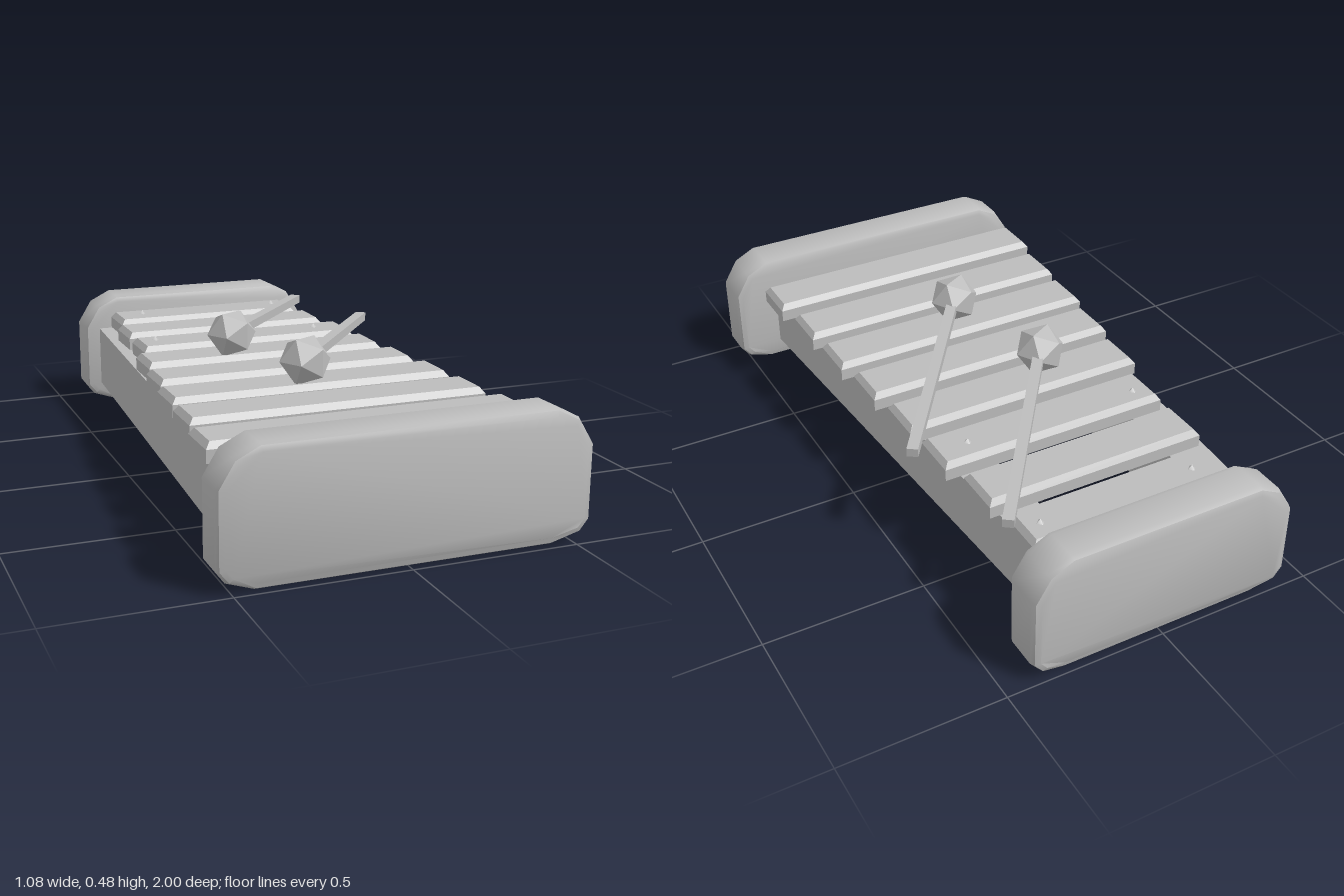
import * as THREE from 'three';
import { toCreasedNormals } from 'three/addons/utils/BufferGeometryUtils.js';

const grey = new THREE.MeshStandardMaterial({ color: 0xbcbcbc });
grey.name = 'plain grey';
const greyOpen = grey.clone(); // same colour, for the bars that are open underneath
greyOpen.name = 'plain grey';
greyOpen.side = THREE.DoubleSide;

function part(name, geometry, material = grey) {
  const mesh = new THREE.Mesh(geometry, material);
  mesh.name = name;
  return mesh;
}

// Move every vertex of a geometry by a rule
function reshape(geometry, rule) {
  const p = geometry.attributes.position;
  const v = new THREE.Vector3();
  for (let i = 0; i < p.count; i++) {
    rule(v.fromBufferAttribute(p, i));
    p.setXYZ(i, v.x, v.y, v.z);
  }
  geometry.computeVertexNormals();
  return geometry;
}

// End board: rounded top corners, clipped lower corners, softened edges
function endBoard(halfWidth, z) {
  const b = 0.022, w = halfWidth - b;
  const half = [[w - 0.09, 0.004 + b], [w - 0.02, 0.05], [w, 0.075], [w, 0.28], [w - 0.04, 0.345], [w - 0.1, 0.397 - b]];
  const outline = [...half, ...half.map(([x, y]) => [-x, y]).reverse()];
  const shape = new THREE.Shape(outline.map(([x, y]) => new THREE.Vector2(x, y)));
  const g = new THREE.ExtrudeGeometry(shape, {
    depth: 0.14 - 2 * b, bevelEnabled: true, bevelThickness: b, bevelSize: b, bevelSegments: 2,
  });
  g.translate(0, 0, -(0.14 - 2 * b) / 2);
  // the underside narrows to a foot
  reshape(g, (v) => { if (v.y < 0.035) { v.z *= 0.75; v.y = Math.max(0, v.y - 0.004); } });
  return toCreasedNormals(g, 0.7).translate(0, 0, z);
}

// Rail running front to back, spreading towards the front
function rail(back, front) {
  const g = new THREE.BoxGeometry(1, 0.205, 1.74).toNonIndexed();
  return reshape(g, (v) => {
    const [a, b] = v.z > 0 ? front : back;
    v.x = v.x > 0 ? b : a;
    v.y += 0.178;
  });
}

// Sounding bar: a shell with a tapered top and an open underside
function bar(x0, x1, z0, z1) {
  const ring = (inset, y) => [
    [x0 + inset, y, z1 - inset], [x1 - inset, y, z1 - inset],
    [x1 - inset, y, z0 + inset], [x0 + inset, y, z0 + inset],
  ];
  const rings = [ring(0, 0.287), ring(0, 0.325), ring(0.014, 0.344)];
  const pos = [];
  const quad = (a, b, c, d) => pos.push(...a, ...b, ...c, ...a, ...c, ...d);
  for (let r = 0; r < 2; r++) {
    for (let i = 0; i < 4; i++) {
      const j = (i + 1) % 4;
      quad(rings[r][i], rings[r][j], rings[r + 1][j], rings[r + 1][i]);
    }
  }
  quad(...rings[2]);
  const g = new THREE.BufferGeometry();
  g.setAttribute('position', new THREE.Float32BufferAttribute(pos, 3));
  g.computeVertexNormals();
  return g;
}

// Mallet: faceted head and a square stick leading to its tip
function mallet(head, tip) {
  const group = new THREE.Group();
  group.name = 'mallet';
  const a = new THREE.Vector3(...head), b = new THREE.Vector3(...tip);
  const ball = part('malletHead', new THREE.IcosahedronGeometry(0.081, 0));
  ball.position.copy(a);
  ball.rotation.y = 0.5;
  const stick = part('malletStick', new THREE.BoxGeometry(0.034, 0.028, a.distanceTo(b)));
  stick.position.copy(a).lerp(b, 0.5);
  stick.lookAt(b);
  group.add(ball, stick);
  return group;
}

export function createModel() {
  const model = new THREE.Group();
  model.name = 'xylophone';

  model.add(
    part('frontBoard', endBoard(0.542, 0.93)),
    part('backBoard', endBoard(0.42, -0.93)),
    part('rightRail', rail([-0.37, -0.25], [-0.465, -0.33])),
    part('leftRail', rail([0.18, 0.3], [0.262, 0.4])),
  );

  // Bars from back to front: left end, right end, back edge
  const bars = [
    [-0.33, 0.33, -0.84], [-0.36, 0.35, -0.63], [-0.365, 0.38, -0.42], [-0.41, 0.39, -0.21],
    [-0.435, 0.41, 0], [-0.46, 0.43, 0.205], [-0.475, 0.44, 0.415], [-0.5, 0.46, 0.635],
  ];
  bars.forEach(([x0, x1, z]) => model.add(part('bar', bar(x0, x1, z, z + 0.155), greyOpen)));

  // Small pin tips just showing through two bars
  for (const [x, z] of [[-0.23, -0.77], [0.27, -0.77], [-0.3, -0.36], [0.27, -0.35]]) {
    const pin = part('pin', new THREE.ConeGeometry(0.02, 0.02, 4));
    pin.position.set(x, 0.347, z);
    model.add(pin);
  }

  model.add(
    mallet([-0.12, 0.408, -0.1], [0.36, 0.36, -0.75]),
    mallet([-0.03, 0.408, 0.31], [0.45, 0.368, -0.35]),
  );
  return model;
}
